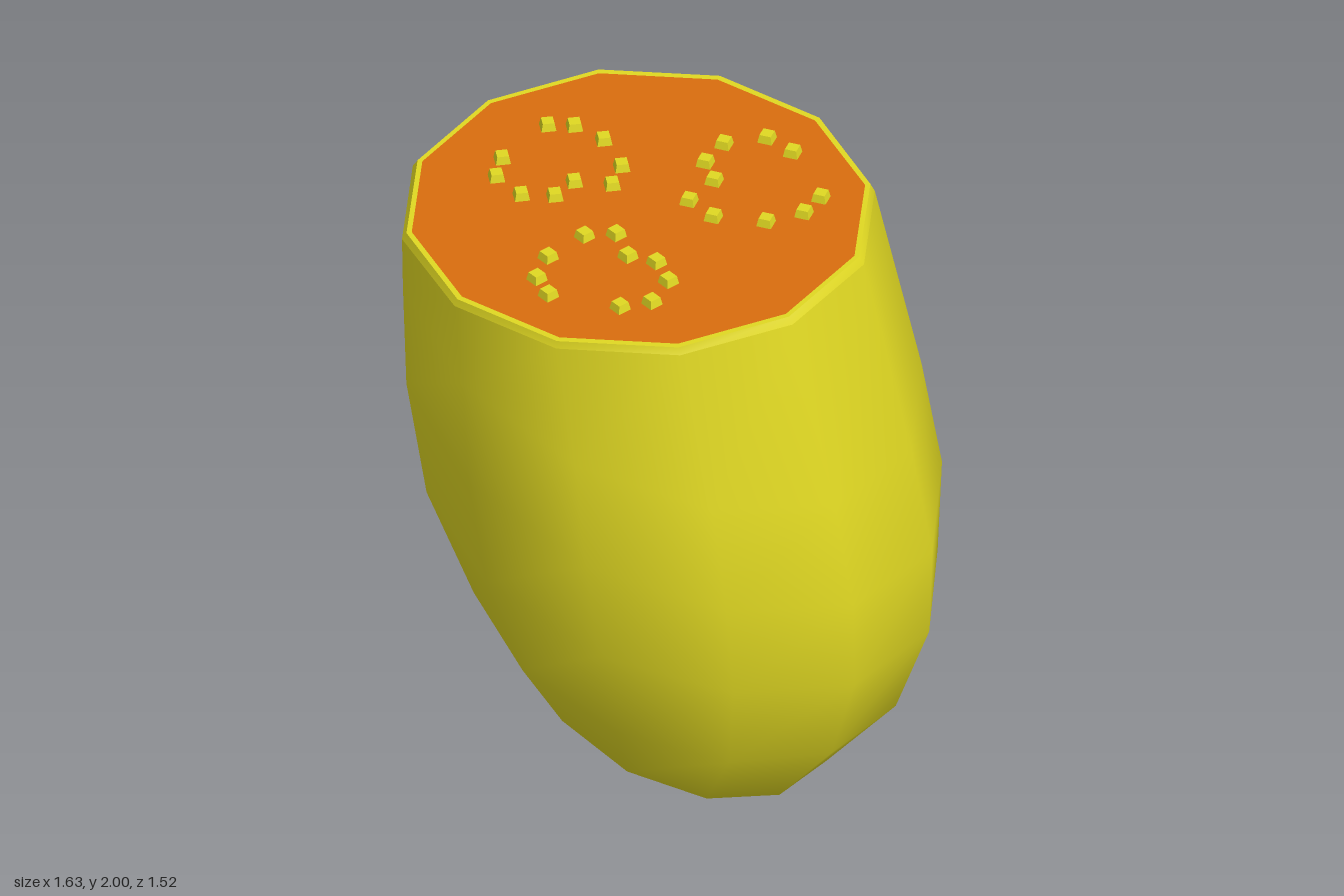
import * as THREE from 'three';

const SIDES = 12;

// Cross-sections: left x, left y, right x, right y, half depth
const RINGS = [
  [-0.21, 0.18, 0.31, 0.0, 0.22],
  [-0.43, 0.43, 0.48, 0.09, 0.465],
  [-0.6, 0.7, 0.7, 0.35, 0.63],
  [-0.75, 1.07, 0.805, 0.65, 0.715],
  [-0.81, 1.48, 0.815, 0.95, 0.76],
  [-0.82, 1.83, 0.75, 1.3, 0.745],
  [-0.82, 1.95, 0.6, 1.95, 0.705],
];
const RIM = [-0.805, 1.974, 0.585, 1.974, 0.7];
const CUT = [-0.79, 1.974, 0.57, 1.974, 0.68];

function ringPoints([lx, ly, rx, ry, depth]) {
  const points = [];
  for (let j = 0; j < SIDES; j++) {
    const a = (j / SIDES) * Math.PI * 2;
    const c = Math.cos(a);
    points.push((lx + rx) / 2 + ((rx - lx) / 2) * c, (ly + ry) / 2 + ((ry - ly) / 2) * c, depth * Math.sin(a));
  }
  return points;
}

// Skin through rings from bottom to top, with an optional end point at either end
function loft(rings, bottom, top) {
  const positions = rings.flatMap(ringPoints);
  const index = [];
  const last = (rings.length - 1) * SIDES;
  const poles = rings.length * SIDES;
  if (bottom) positions.push(...bottom);
  if (top) positions.push(...top);
  for (let j = 0; j < SIDES; j++) {
    const k = (j + 1) % SIDES;
    for (let i = 0; i < last; i += SIDES) {
      const a = i + j, b = i + k, c = a + SIDES, d = b + SIDES;
      index.push(a, c, b, b, c, d);
    }
    if (bottom) index.push(poles, j, k);
    if (top) index.push(poles + (bottom ? 1 : 0), last + k, last + j);
  }
  const g = new THREE.BufferGeometry();
  g.setAttribute('position', new THREE.Float32BufferAttribute(positions, 3));
  g.setIndex(index);
  g.computeVertexNormals();
  return g;
}

// Three seed clusters: turn of each seed, then x, z pairs
const CLUSTERS = [
  { name: 'leftSeeds', turn: Math.PI / 6, at: [[-0.5, -0.285], [-0.425, -0.31], [-0.32, -0.275], [-0.225, -0.17], [-0.22, -0.075],
    [-0.33, -0.05], [-0.36, 0.035], [-0.455, 0.065], [-0.555, 0.005], [-0.57, -0.085]] },
  { name: 'backSeeds', turn: 0, at: [[0.02, -0.38], [0.13, -0.45], [0.225, -0.41], [0, -0.275], [0.055, -0.2],
    [0.02, -0.08], [0.115, -0.03], [0.27, -0.06], [0.36, -0.14], [0.38, -0.23]] },
  { name: 'frontSeeds', turn: Math.PI / 3, at: [[-0.125, 0.15], [-0.21, 0.19], [-0.275, 0.325], [-0.27, 0.435], [-0.21, 0.5],
    [0.01, 0.485], [0.09, 0.43], [0.1, 0.315], [0.035, 0.24], [-0.055, 0.24]] },
];

export function createModel() {
  const yellow = new THREE.MeshStandardMaterial({ name: 'yellow skin', color: 0xe0d822 });
  const orange = new THREE.MeshStandardMaterial({ name: 'orange flesh', color: 0xd96d0e });
  const model = new THREE.Group();
  model.name = 'halfFruit';

  const add = (name, geometry, material, parent = model) => {
    const mesh = new THREE.Mesh(geometry, material);
    mesh.name = name;
    parent.add(mesh);
    return mesh;
  };

  // Leaning rounded body, bevelled rim and flat cut face
  add('skin', loft(RINGS, [0.11, 0.02, 0]), yellow);
  add('rimBevel', loft([RINGS[RINGS.length - 1], RIM]), yellow);
  add('rim', loft([RIM, CUT]), yellow);
  add('cutFace', loft([CUT], null, [-0.11, 1.974, 0]), orange);

  // Small tapered square seeds standing on the cut face
  const seed = new THREE.CylinderGeometry(0.025, 0.033, 0.03, 4, 1).toNonIndexed();
  seed.rotateY(Math.PI / 4);
  seed.computeVertexNormals();
  for (const { name, turn, at } of CLUSTERS) {
    const cluster = new THREE.Group();
    cluster.name = name;
    model.add(cluster);
    for (const [x, z] of at) {
      const mesh = add('seed', seed, yellow, cluster);
      mesh.position.set(x, 1.985, z);
      mesh.rotation.y = turn;
    }
  }
  return model;
}
